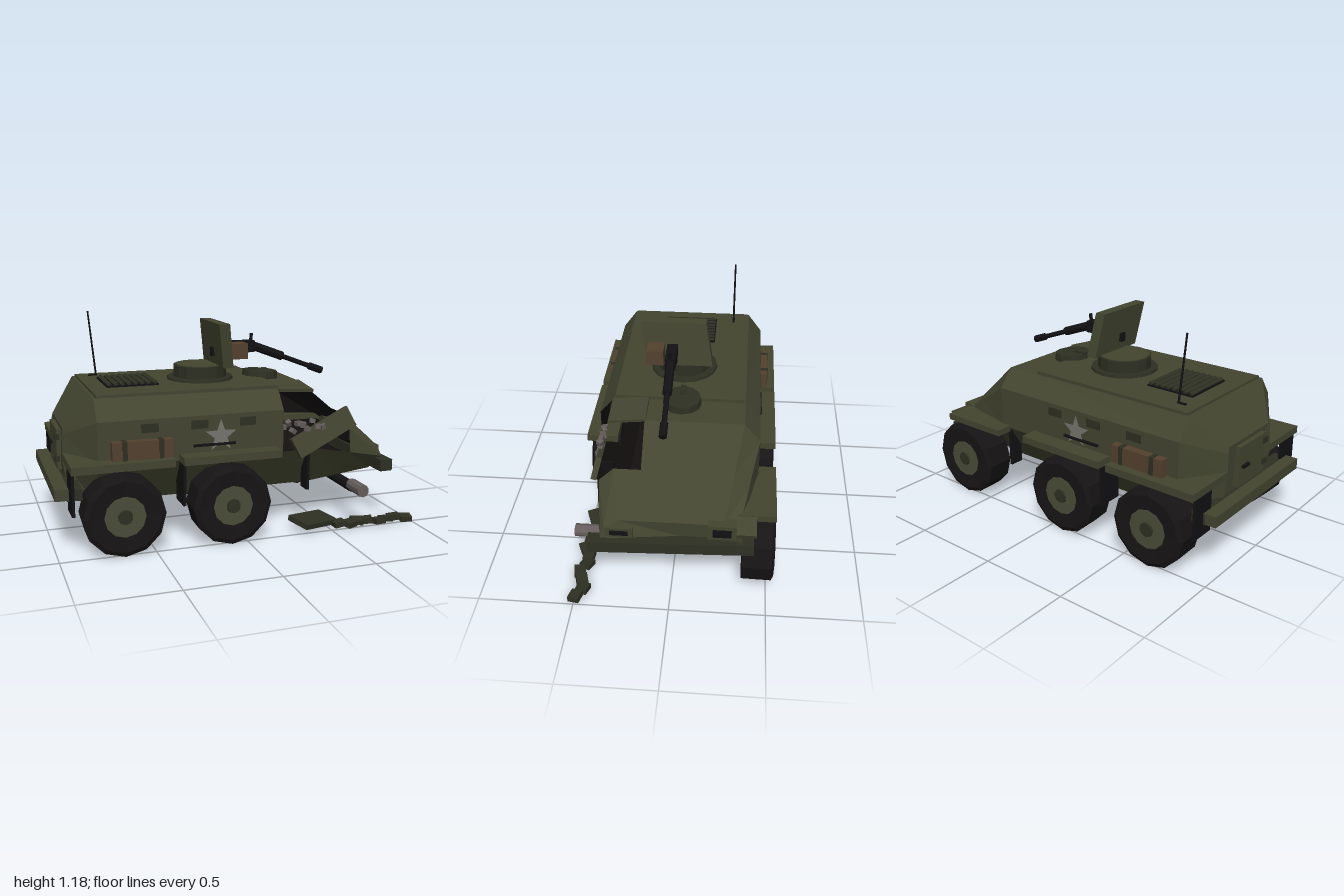
import * as THREE from 'three';

const mat = (color, extra = {}) => new THREE.MeshStandardMaterial({ color, flatShading: true, ...extra });
const OLIVE = mat(0x434530), DARKOLIVE = mat(0x2e3023), BLACK = mat(0x121214), TYRE = mat(0x171415);
const WOOD = mat(0x54412f), METAL = mat(0x655d5b), STAR = mat(0x77756f), HUB = mat(0x4b4d38);
const INSIDE = mat(0x141010, { side: THREE.BackSide });

export function createModel() {
  const root = new THREE.Group();
  const add = (name, geo, m, p = [0, 0, 0], r = [0, 0, 0], parent = root) => {
    const mesh = new THREE.Mesh(geo, m);
    mesh.name = name;
    mesh.position.set(...p);
    mesh.rotation.set(...r);
    parent.add(mesh);
    return mesh;
  };
  const box = (name, size, p, m = OLIVE, r) => add(name, new THREE.BoxGeometry(...size), m, p, r);
  // box given by its limits on each axis
  const span = (name, [x0, x1], [y0, y1], [z0, z1], m = OLIVE) =>
    box(name, [x1 - x0, y1 - y0, z1 - z0], [(x0 + x1) / 2, (y0 + y1) / 2, (z0 + z1) / 2], m);
  // round bar between two points
  const bar = (name, a, b, r, m = BLACK, sides = 8, r2 = r) => {
    const A = new THREE.Vector3(...a), B = new THREE.Vector3(...b), d = B.clone().sub(A);
    const mesh = add(name, new THREE.CylinderGeometry(r2, r, d.length(), sides), m);
    mesh.position.copy(A).add(B).multiplyScalar(0.5);
    mesh.quaternion.setFromUnitVectors(new THREE.Vector3(0, 1, 0), d.normalize());
  };

  // Hull: stations along x, each [x, y, z] for bottom, middle, belt and roof edge
  const rear = [[-0.9, 0.245, 0.22], [-0.93, 0.47, 0.22], [-0.925, 0.6, 0.21], [-0.92, 0.63, 0.2]];
  const back = [[-0.78, 0.245, 0.3], [-0.78, 0.47, 0.44], [-0.78, 0.7, 0.44], [-0.78, 0.807, 0.36]];
  const brow = [[0.43, 0.245, 0.3], [0.43, 0.47, 0.44], [0.43, 0.7, 0.44], [0.43, 0.8, 0.355]];
  const nose = [[0.82, 0.29, 0.3], [0.87, 0.37, 0.36], [0.855, 0.42, 0.34], [0.835, 0.46, 0.27]];
  const mix = (a, b, t) => a.map((p, i) => p.map((v, k) => v + (b[i][k] - v) * t));
  const stations = [rear, back, mix(back, brow, 0.83), brow, mix(brow, nose, 0.5), nose];
  const loops = stations.map(s => {
    const right = s.map(([x, y, z]) => [x, y, -z]);
    return [...right, [s[3][0], s[3][1], 0.17], ...s.slice().reverse()];
  });
  const pos = [];
  const quad = (a, b, c, d) => pos.push(...a, ...b, ...c, ...a, ...c, ...d);
  for (let i = 0; i < 5; i++) for (let j = 0; j < 9; j++) {
    if ((i === 2 || i === 3) && j >= 4 && j <= 6) continue; // blown-open corner
    const k = (j + 1) % 9;
    quad(loops[i][j], loops[i][k], loops[i + 1][k], loops[i + 1][j]);
  }
  for (let j = 1; j < 8; j++) {
    pos.push(...loops[0][0], ...loops[0][j + 1], ...loops[0][j]);
    pos.push(...loops[5][0], ...loops[5][j], ...loops[5][j + 1]);
  }
  const hullGeo = new THREE.BufferGeometry();
  hullGeo.setAttribute('position', new THREE.Float32BufferAttribute(pos, 3));
  hullGeo.computeVertexNormals();
  add('hull', hullGeo, OLIVE);
  add('hullInterior', hullGeo, INSIDE);
  span('roofPlate', [-0.765, 0.23], [0.8, 0.82], [-0.35, 0.35]);

  // Torn plates around the opening
  box('tornSidePlate', [0.38, 0.12, 0.03], [0.47, 0.555, 0.42], OLIVE, [-0.25, 0, 0.43]);
  box('bentRoofPlate', [0.2, 0.015, 0.2], [0.33, 0.795, 0.265], OLIVE, [0.1, 0, -0.06]);
  for (let i = 0; i < 9; i++)
    box('rubble', [0.03, 0.025, 0.03], [0.23 + i * 0.029, 0.6 + 0.025 * Math.sin(i * 2.3), 0.42], METAL, [i, i * 2, i]);

  // Wheels: square tread, rim on the outer face only
  const tyre = new THREE.LatheGeometry([[0, -0.06], [0.1, -0.075], [0.212, -0.085], [0.215, 0.07], [0.19, 0.083], [0.1, 0.075]]
    .map(p => new THREE.Vector2(...p)), 12);
  for (const s of [-1, 1]) for (const x of [-0.665, -0.09, 0.67]) {
    if (s > 0 && x > 0.5) continue;
    const wheel = new THREE.Group();
    wheel.name = 'wheel';
    wheel.position.set(x, 0.225, s * 0.452);
    wheel.rotation.x = s * Math.PI / 2;
    root.add(wheel);
    add('tyre', tyre, TYRE, [0, 0, 0], [0, 0, 0], wheel);
    add('rim', new THREE.CylinderGeometry(0.108, 0.108, 0.05, 12), HUB, [0, 0.055, 0], [0, 0, 0], wheel);
    add('hubCap', new THREE.CylinderGeometry(0.038, 0.045, 0.03, 10), DARKOLIVE, [0, 0.074, 0], [0, 0, 0], wheel);
  }
  for (const x of [-0.665, -0.09, 0.67]) bar('axle', [x, 0.215, -0.42], [x, 0.215, 0.4], 0.03);
  bar('brokenHub', [0.67, 0.228, 0.39], [0.67, 0.228, 0.53], 0.035, METAL, 10);

  // Fenders, mud flaps, side stowage and vision slits
  for (const s of [-1, 1]) {
    const z = (a, b) => s > 0 ? [a, b] : [-b, -a];
    span('rearFender', [-0.93, -0.4], [0.465, 0.505], z(0.22, 0.535));
    span('middleFender', [-0.355, 0.18], [0.465, 0.505], z(0.36, 0.535));
    for (const x of [-0.92, -0.345, 0.375]) span('mudFlap', [x - 0.008, x + 0.008], [0.24, 0.47], z(0.36, x > 0 ? 0.44 : 0.5), BLACK);
    span('stowageBox', [-0.715, -0.4], [0.505, 0.6], z(0.43, 0.485), WOOD);
    for (const x of [-0.65, -0.46]) span('strap', [x - 0.012, x + 0.012], [0.503, 0.603], z(0.43, 0.49), DARKOLIVE);
    for (const x of [-0.51, -0.245, 0.02]) span('visionSlit', [x - 0.045, x + 0.045], [0.632, 0.677], z(0.43, 0.445), DARKOLIVE);
    span('sideRail', [-0.28, -0.05], [0.538, 0.55], z(0.43, 0.455), BLACK);
    // painted star
    const star = new THREE.Shape();
    for (let i = 0; i < 10; i++) {
      const a = Math.PI / 2 + i * Math.PI / 5, r = i % 2 ? 0.037 : 0.09;
      star[i ? 'lineTo' : 'moveTo'](r * Math.cos(a), r * Math.sin(a));
    }
    add('star', new THREE.ShapeGeometry(star), STAR, [-0.13, 0.587, s * 0.445], [0, s > 0 ? 0 : Math.PI, 0]);
    span('headlight', [0.8, 0.865], s > 0 ? [0.375, 0.43] : [0.39, 0.475], z(0.19, 0.335));
    span('headlightLens', [0.86, 0.872], s > 0 ? [0.39, 0.415] : [0.41, 0.455], z(0.215, 0.31), BLACK);
  }
  span('frontFender', [0.37, 0.78], [0.45, 0.485], [-0.535, -0.34]);
  box('frontFenderLip', [0.12, 0.03, 0.1], [0.82, 0.45, -0.385], OLIVE, [0, 0, -0.35]);
  box('frontBumper', [0.075, 0.065, 0.85], [0.855, 0.335, 0], DARKOLIVE, [0.01, 0.03, 0]);
  span('rearBumper', [-1, -0.93], [0.305, 0.365], [-0.43, 0.42]);
  span('rearBumperMount', [-0.94, -0.86], [0.3, 0.36], [-0.43, 0.42], DARKOLIVE);

  // Rear door
  span('rearDoor', [-0.945, -0.91], [0.39, 0.61], [-0.13, 0.13]);
  for (const y of [0.45, 0.57]) span('doorHinge', [-0.955, -0.93], [y - 0.015, y + 0.015], [0.1, 0.14], DARKOLIVE);
  span('doorHandle', [-0.96, -0.93], [0.49, 0.505], [-0.11, -0.05], BLACK);

  // Engine grille
  span('grilleBase', [-0.67, -0.385], [0.815, 0.828], [-0.16, 0.15], BLACK);
  for (let i = 0; i < 8; i++) box('grilleSlat', [0.022, 0.012, 0.3], [-0.655 + i * 0.036, 0.834, -0.005], DARKOLIVE, [0, 0, 0.4]);

  // Antenna
  bar('antenna', [-0.655, 0.82, -0.265], [-0.692, 1.19, -0.265], 0.006, BLACK, 6, 0.005);
  span('antennaBase', [-0.7, -0.65], [0.815, 0.827], [-0.272, -0.258], BLACK);

  // Cupola and hatch
  add('cupolaRing', new THREE.CylinderGeometry(0.185, 0.19, 0.025, 16), DARKOLIVE, [-0.11, 0.823, 0]);
  add('cupola', new THREE.CylinderGeometry(0.15, 0.15, 0.08, 16), DARKOLIVE, [-0.11, 0.861, 0]);
  add('cupolaLid', new THREE.CylinderGeometry(0.14, 0.14, 0.01, 16), OLIVE, [-0.11, 0.9, 0]);
  add('hatch', new THREE.CylinderGeometry(0.1, 0.105, 0.04, 12), DARKOLIVE, [0.26, 0.825, -0.015], [0, 0, -0.06]);
  box('hatchHandle', [0.08, 0.02, 0.03], [0.2, 0.848, -0.015], DARKOLIVE);

  // Gun shield: a slab leaning back and sideways
  const shield = new THREE.BoxGeometry(0.06, 0.245, 0.36);
  const sp = shield.attributes.position;
  for (let i = 0; i < sp.count; i++) {
    const y = sp.getY(i);
    sp.setX(i, sp.getX(i) - y * 0.14);
    sp.setZ(i, sp.getZ(i) + y * 0.16);
  }
  shield.computeVertexNormals();
  add('gunShield', shield, OLIVE, [-0.022, 1.022, 0.035]);

  // Machine gun
  span('gunCradle', [-0.06, 0.1], [0.95, 1.0], [0.035, 0.07], BLACK);
  span('receiver', [0.02, 0.19], [0.965, 1.03], [0.028, 0.085], BLACK);
  span('ammoBox', [0.01, 0.11], [0.945, 1.03], [0.1, 0.193], WOOD);
  bar('gunPost', [0, 0.88, 0.055], [0.05, 0.98, 0.055], 0.025);
  bar('rearSight', [0.175, 1.01, 0.055], [0.18, 1.07, 0.055], 0.01);
  bar('barrelJacket', [0.17, 1.005, 0.055], [0.37, 0.93, 0.055], 0.025);
  bar('barrel', [0.35, 0.937, 0.055], [0.58, 0.85, 0.055], 0.014);
  bar('muzzle', [0.54, 0.865, 0.055], [0.62, 0.835, 0.055], 0.021);

  // Broken track strip lying on the ground
  box('trackPlate', [0.24, 0.03, 0.15], [0.42, 0.055, 0.42], DARKOLIVE, [0.12, 0.35, -0.12]);
  for (let i = 0; i < 8; i++)
    box('trackLink', [0.066, 0.03, 0.06], [0.55 + i * 0.059, 0.04 - i * 0.001, 0.48 + 0.02 * Math.sin(i * 1.9)],
      DARKOLIVE, [0.15 * Math.sin(i), 0.4 * Math.sin(i * 1.7), 0.15 * Math.cos(i * 2)]);
  return root;
}
